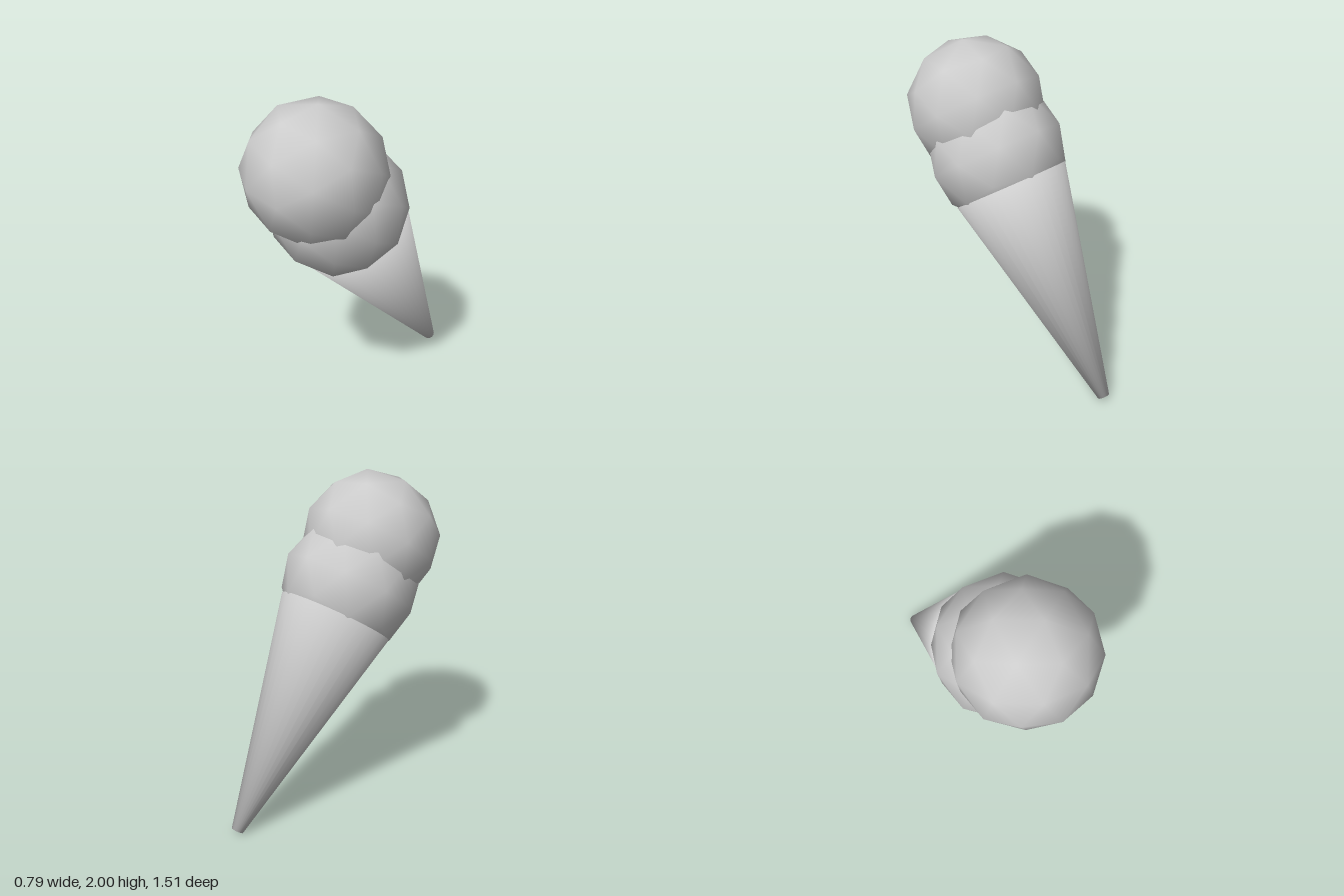
import * as THREE from 'three';

const material = new THREE.MeshStandardMaterial({ color: 0xcccccc });

// Low-poly ball with smooth normals, one corner pointing along the cone's axis
function makeScoop(name, height) {
  const geometry = new THREE.IcosahedronGeometry(0.415, 1);
  geometry.rotateZ(-Math.atan(2 / (1 + Math.sqrt(5))));
  const scoop = new THREE.Mesh(geometry, material);
  scoop.name = name;
  scoop.position.y = height;
  return scoop;
}

// Closed tapered cone, its normals blended softly over the rim and the tip
function makeCone(tipRadius, rimRadius, height) {
  const geometry = new THREE.CylinderGeometry(rimRadius, tipRadius, height, 32);
  geometry.translate(0, height / 2, 0);
  const { position, normal } = geometry.attributes;
  const side = new THREE.Vector3();
  for (let i = 0; i < position.count; i++) {
    const isRim = position.getY(i) > height / 2;
    side.set(position.getX(i), 0, position.getZ(i)).normalize();
    side.multiplyScalar(height);
    side.y = tipRadius - rimRadius;
    side.normalize();
    side.y += isRim ? 1 : -1;
    side.normalize();
    normal.setXYZ(i, side.x, side.y, side.z);
  }
  const cone = new THREE.Mesh(geometry, material);
  cone.name = 'cone';
  return cone;
}

export function createModel() {
  const iceCream = new THREE.Group();
  iceCream.name = 'iceCream';

  // Everything sits on one axis that leans forward from the tip
  const leaning = new THREE.Group();
  leaning.name = 'leaningIceCream';
  leaning.add(
    makeCone(0.036, 0.35, 1.395),
    makeScoop('lowerScoop', 1.61),
    makeScoop('upperScoop', 1.91),
  );
  leaning.rotation.x = 0.603;
  leaning.position.set(0, 0.02, -0.725);
  iceCream.add(leaning);
  return iceCream;
}
